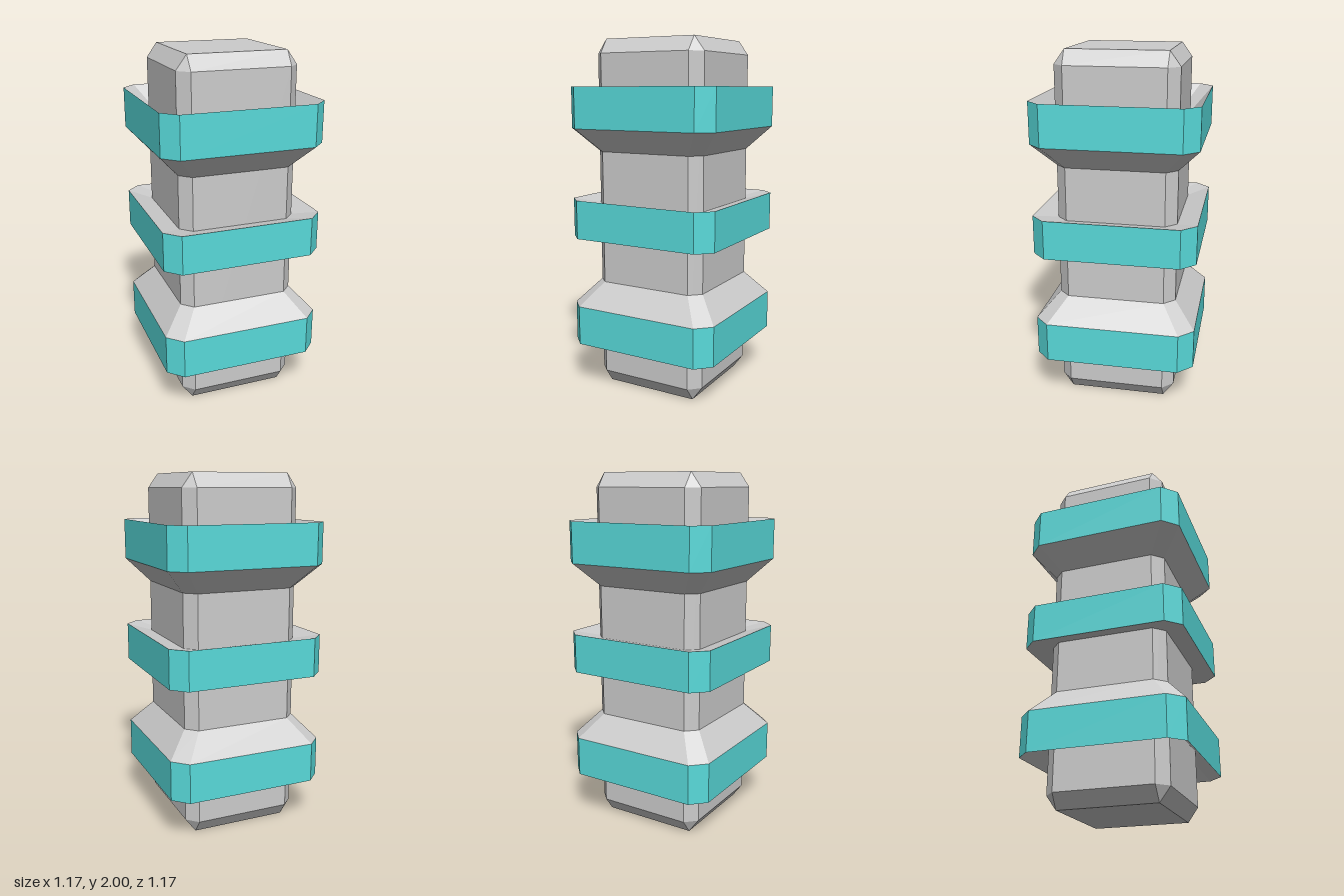
import * as THREE from 'three';

const grey = new THREE.MeshStandardMaterial({ color: 0xcccccc });
grey.name = 'light grey';
const teal = new THREE.MeshStandardMaterial({ color: 0x58dada });
teal.name = 'teal';

// Diamond with cut corners: tips reach r on the axes, each cut is 2c wide
function section([r, c, y]) {
  const points = [];
  for (let k = 0; k < 4; k++) {
    const cos = Math.round(Math.cos(k * Math.PI / 2));
    const sin = Math.round(Math.sin(k * Math.PI / 2));
    for (const s of [-c, c]) {
      points.push(new THREE.Vector3(r * cos - s * sin, y, -(r * sin + s * cos)));
    }
  }
  return points;
}

// Faceted skin through sections, listed bottom to top along the outside
function loft(name, material, rows, closed = false) {
  const loops = rows.map(section);
  const positions = [];
  const face = (a, b, c) => {
    if (a.equals(b) || b.equals(c) || c.equals(a)) return;
    for (const p of [a, b, c]) positions.push(p.x, p.y, p.z);
  };
  for (let i = 0; i < loops.length - 1; i++) {
    const low = loops[i], high = loops[i + 1];
    for (let j = 0; j < 8; j++) {
      const n = (j + 1) % 8;
      face(low[j], low[n], high[n]);
      face(low[j], high[n], high[j]);
    }
  }
  if (closed) {
    const bottom = loops[0], top = loops[loops.length - 1];
    for (let j = 1; j < 7; j++) {
      face(bottom[0], bottom[j + 1], bottom[j]);
      face(top[0], top[j], top[j + 1]);
    }
  }
  const geometry = new THREE.BufferGeometry();
  geometry.setAttribute('position', new THREE.Float32BufferAttribute(positions, 3));
  geometry.computeVertexNormals();
  const mesh = new THREE.Mesh(geometry, material);
  mesh.name = name;
  return mesh;
}

export function createModel() {
  const model = new THREE.Group();
  model.name = 'bandedColumn';

  // Core with bevelled ends that taper to a plain square
  model.add(loft('core', grey, [
    [0.39, 0, 0], [0.43, 0.043, 0.08], [0.43, 0.043, 1.92], [0.39, 0, 2],
  ], true));

  // Collars: inner and outer heights of the underside, then of the top
  const collars = [
    ['lowerCollar', 0.40, 0.265, 0.49, 0.625],
    ['middleCollar', 0.92, 0.89, 1.11, 1.08],
    ['upperCollar', 1.38, 1.51, 1.74, 1.60],
  ];
  for (const [name, innerLow, outerLow, outerHigh, innerHigh] of collars) {
    const inner = y => [0.43, 0.043, y];
    const outer = y => [0.585, 0.057, y];
    const collar = new THREE.Group();
    collar.name = name;
    collar.add(
      loft('underside', grey, [inner(innerLow), outer(outerLow)]),
      loft('band', teal, [outer(outerLow), outer(outerHigh)]),
      loft('topSlope', grey, [outer(outerHigh), inner(innerHigh)]),
    );
    model.add(collar);
  }
  return model;
}
